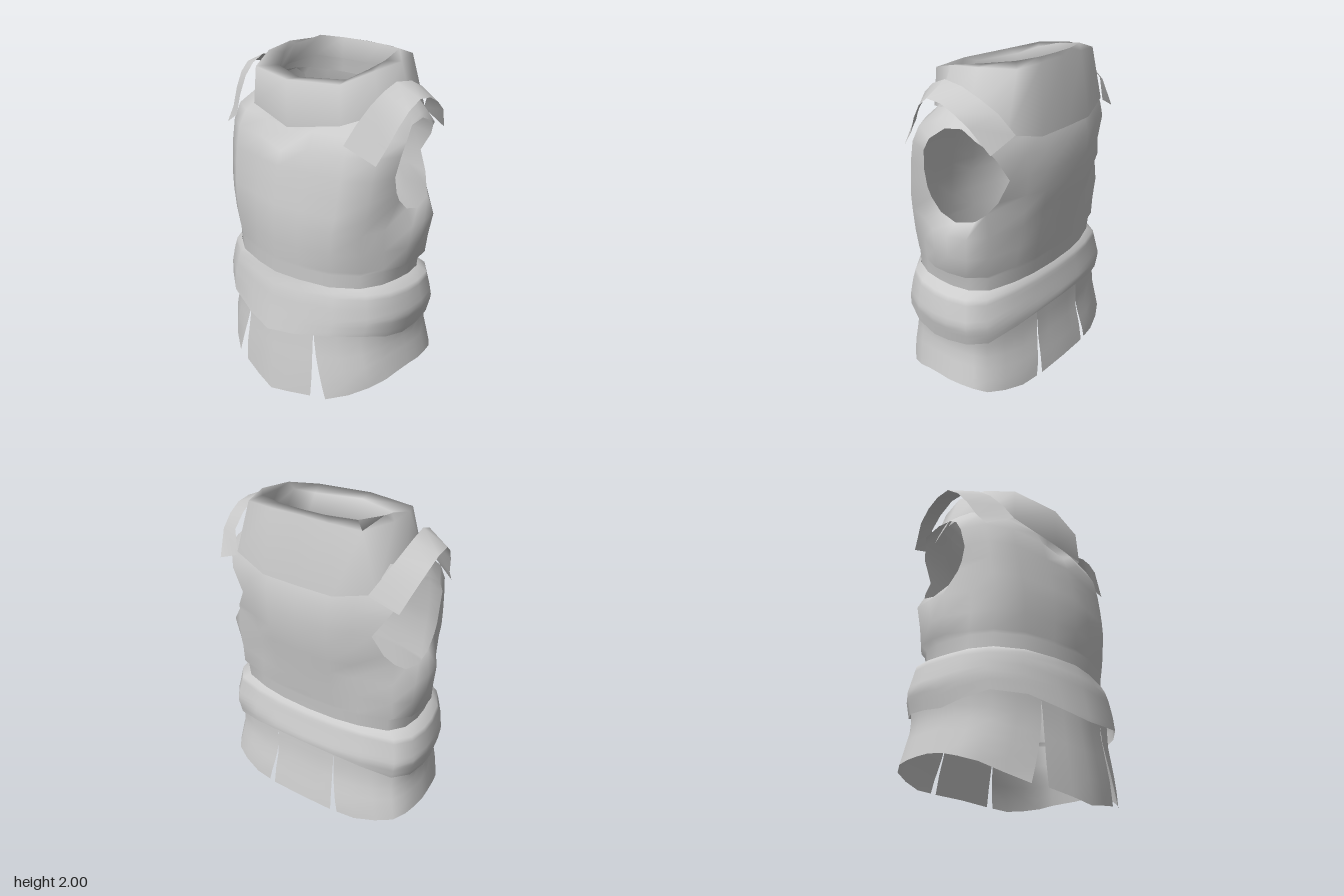
import * as THREE from 'three';
import { mergeVertices } from 'three/addons/utils/BufferGeometryUtils.js';

// Half cross-section of the vest, front centre to back centre, as [x, z] in -1..1
const SECTION = [[0, 1], [.28, .94], [.6, .81], [.84, .55], [.95, .25], [.99, -.05],
  [1, -.3], [.97, -.58], [.86, -.79], [.58, -.92], [.32, -.98], [0, -1]];
const HALF = SECTION.length - 1, FULL = HALF * 2;

// Linear lookup in rows sorted by their first number
function lookup(rows, t) {
  if (t <= rows[0][0]) return rows[0].slice(1);
  for (let k = 1; k < rows.length; k++) {
    if (t > rows[k][0]) continue;
    const a = rows[k - 1], b = rows[k], f = (t - a[0]) / (b[0] - a[0]);
    return a.slice(1).map((v, n) => v + (b[n + 1] - v) * f);
  }
  return rows[rows.length - 1].slice(1);
}
const SECTION_BY_U = SECTION.map((p, i) => [i, ...p]);

// Fuller chest corners and slimmer shoulder blades: change by position and by height
const CHEST = [[1, 0, 0], [2, .06, .04], [3, .05, .08], [4, .02, .05], [5, 0, 0], [7, 0, 0],
  [8, -.03, .04], [9, -.05, .03], [10, 0, 0]];
const CHEST_AMOUNT = [[.87, 0], [1.1, .8], [1.43, 1.1], [1.64, .6], [1.79, 0]];
const X_BY_DEPTH = SECTION.slice(0, 11).map(([x, z], k) => {
  const [dx, dz] = lookup(CHEST, k);
  return [-z - dz, x + dx];
});

// Point at position u around the body (0 = front, 11 = back, 22 = front again)
function around(u, y, [w, front, back], chest = 0) {
  u = ((u % FULL) + FULL) % FULL;
  const side = u > HALF ? -1 : 1, k = side < 0 ? FULL - u : u;
  const [x, z] = lookup(SECTION_BY_U, k), [dx, dz] = lookup(CHEST, k);
  return [side * (x + dx * chest) * w, y, (front + back) / 2 + (z + dz * chest) * (front - back) / 2];
}

// Smooth surface over a grid of points, with optional missing cells
function surface(ni, nj, point, skip = () => false) {
  const pos = [], index = [];
  for (let j = 0; j <= nj; j++) for (let i = 0; i <= ni; i++) pos.push(...point(i, j));
  for (let j = 0; j < nj; j++) for (let i = 0; i < ni; i++) {
    if (skip(i, j)) continue;
    const a = j * (ni + 1) + i, b = a + 1, c = a + ni + 1, d = c + 1;
    index.push(a, b, d, a, d, c);
  }
  let g = new THREE.BufferGeometry();
  g.setAttribute('position', new THREE.Float32BufferAttribute(pos, 3));
  g.setIndex(index);
  g = mergeVertices(g, 1e-4);
  g.computeVertexNormals();
  return g;
}

// Height, half width, front z, back z
const TORSO = [[.6, .56, .39, -.36], [.87, .575, .4, -.385], [.89, .58, .4, -.39],
  [1.0, .575, .408, -.405], [1.13, .57, .408, -.425], [1.22, .585, .395, -.44],
  [1.32, .59, .38, -.455], [1.43, .592, .36, -.46], [1.55, .61, .335, -.455],
  [1.64, .605, .285, -.425], [1.71, .54, .22, -.395], [1.79, .455, .2, -.375]];
const BELT = [[.44, .63, .48, -.43], [.6, .665, .445, -.44], [.7, .645, .425, -.415],
  [.765, .63, .403, -.4], [.79, .575, .398, -.375]];
const SKIRT = [[0, .66, .47, -.48], [.2, .665, .45, -.475], [.43, .62, .415, -.425], [.6, .645, .4, -.42]];

// How far the ribs stand out at the sides, by height and by position
const FLARE = [[.87, 0], [.89, .035], [1.0, .047], [1.13, .068], [1.22, 0]];
const FLARE_SIDE = [[4, 0], [5, 1], [7, 1], [8, .7], [9, 0]];

// Lower edges by position around the body
const BELT_HEM = [[0, .44], [1.5, .48], [2.5, .54], [3.5, .5], [5, .46], [8, .5], [9.5, .57], [11, .58]];
const SKIRT_HEM = [[0, 0], [1.4, .05], [2, .06], [3.2, .155], [4.3, .21], [5, .225],
  [7, .22], [8, .19], [9, .155], [11, .17]];
const fold = (i, n) => (i > n ? 2 * n - i : i);

// Torso shell with rounded armholes, flared ribs and a dent below the throat
function torso() {
  const c0 = 4, c1 = 8, r0 = 5, r1 = 9;
  const cy = 1.44, cz = -.155, ry = .255, rz = .225;
  const point = (i, j) => {
    const k = fold(i, HALF), [y, ...ring] = TORSO[j];
    const p = around(i, y, ring, lookup(CHEST_AMOUNT, y)[0]), side = Math.sign(p[0]);
    if (k >= c0 && k <= c1 && j >= r0 && j <= r1) {
      // slide the border of the opening onto an ellipse lying on the body
      const a = Math.atan2((y - cy) / ry, (p[2] - cz) / rz);
      const hy = cy + ry * Math.sin(a), hz = cz + rz * Math.cos(a);
      const [w, f, b] = lookup(TORSO, hy);
      const zn = (hz - (f + b) / 2) / ((f - b) / 2);
      return [side * lookup(X_BY_DEPTH, -zn)[0] * w, hy, hz];
    }
    p[0] += side * lookup(FLARE, y)[0] * lookup(FLARE_SIDE, k)[0];
    if (k === 0 && j === r1) return [0, 1.59, .2];
    if (k === 0 && j === r1 - 1) p[1] = 1.51;
    return p;
  };
  return surface(FULL, TORSO.length - 1, point, (i, j) => {
    const k = i < HALF ? i : FULL - 1 - i;
    return k >= c0 && k < c1 && j >= r0 && j < r1;
  });
}

// Curved panel between positions u0 and u1, from a hem up to a top height
function panel(profile, u0, u1, hem, top, ni, nj, taper = () => [0, 0]) {
  return surface(ni, nj, (i, j) => {
    const v = j / nj, [da, db] = taper(1 - v);
    const u = u0 + da + (u1 + db - u0 - da) * i / ni;
    const low = lookup(hem, fold(((u % FULL) + FULL) % FULL, HALF))[0];
    const y = low + (top - low) * v;
    return around(u, y, lookup(profile, y));
  });
}

// Collar: bottom [x, y, z], top [x, y, z] and inner lip [x, y, z], front to back
const COLLAR = [
  [[0, 1.63, .28], [0, 1.89, .28], [0, 1.885, .18]],
  [[.32, 1.69, .22], [.305, 1.9, .21], [.25, 1.895, .09]],
  [[.45, 1.74, .06], [.385, 1.95, .03], [.31, 1.94, -.02]],
  [[.485, 1.76, -.17], [.41, 1.97, -.17], [.33, 1.97, -.13]],
  [[.44, 1.67, -.375], [.345, 1.975, -.36], [.29, 2, -.31]],
  [[.22, 1.62, -.432], [.18, 1.985, -.39], [.14, 2, -.345]],
  [[0, 1.62, -.437], [0, 1.99, -.395], [0, 2, -.35]]];
function collar() {
  const n = COLLAR.length - 1;
  return surface(n * 2, 3, (i, j) => {
    const [x, y, z] = COLLAR[fold(i, n)][Math.min(j, 2)];
    const side = i > n ? -1 : 1;
    return j < 3 ? [side * x, y, z] : [side * x * 1.2, y - .13, z * 1.06];
  });
}

// Shoulder strap: inner edge and outer edge of each station, front to back
const STRAP = [[[.4, 1.62, .285], [.56, 1.53, .22]], [[.43, 1.72, .225], [.575, 1.61, .155]],
  [[.46, 1.81, .15], [.6, 1.71, .1]], [[.48, 1.87, .07], [.62, 1.79, .04]],
  [[.49, 1.905, -.02], [.635, 1.84, -.03]], [[.5, 1.89, -.14], [.635, 1.83, -.12]],
  [[.49, 1.84, -.25], [.63, 1.79, -.2]], [[.47, 1.78, -.345], [.615, 1.73, -.28]],
  [[.41, 1.67, -.405], [.57, 1.6, -.375]]];
function strap(side) {
  return surface(STRAP.length - 1, 1, (i, j) => {
    const [x, y, z] = STRAP[i][side > 0 ? 1 - j : j];
    return [side * x, y, z];
  });
}

export function createModel() {
  const group = new THREE.Group();
  group.name = 'armouredVest';
  const grey = new THREE.MeshStandardMaterial({ color: 0xcccccc, side: THREE.DoubleSide });
  grey.name = 'light grey';
  const add = (name, geometry) => {
    const mesh = new THREE.Mesh(geometry, grey);
    mesh.name = name;
    group.add(mesh);
  };

  add('torso', torso());
  add('collar', collar());
  add('belt', panel(BELT, 0, FULL, BELT_HEM, .79, FULL, 10));

  // Skirt: a front and a back tab with a wide panel on each side
  add('frontTab', panel(SKIRT, -1.42, 1.42, SKIRT_HEM, .58, 4, 4));
  add('backTab', panel(SKIRT, 10, 12, SKIRT_HEM, .62, 4, 4));
  add('leftSkirt', panel(SKIRT, 1.42, 10, SKIRT_HEM, .6, 12, 6, d => [.45 * d * d, -.25 * d * d]));
  add('rightSkirt', panel(SKIRT, 12, 20.58, SKIRT_HEM, .6, 12, 6, d => [.25 * d * d, -.45 * d * d]));

  // Shoulder straps standing off the body
  add('leftStrap', strap(1));
  add('rightStrap', strap(-1));
  return group;
}
